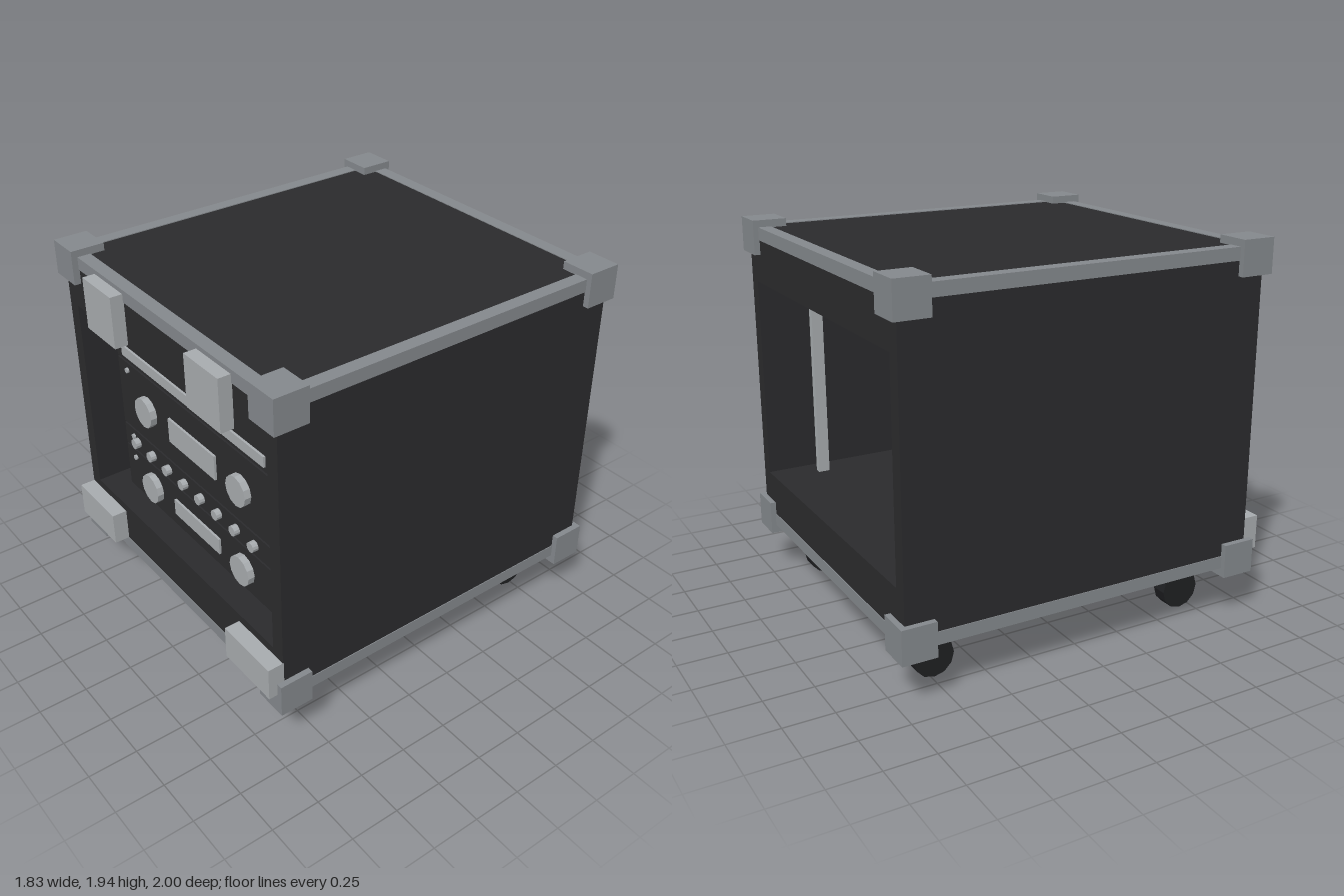
import * as THREE from 'three';

const material = (color) => new THREE.MeshStandardMaterial({ color, flatShading: true });

export function createModel() {
  const model = new THREE.Group();
  const dark = material(0x2b2b2d);
  const rubber = material(0x1f2022);
  const steel = material(0x85898d);
  const light = material(0xa8acaf);

  const add = (parent, name, geometry, mat, x, y, z) => {
    const mesh = new THREE.Mesh(geometry, mat);
    mesh.name = name;
    mesh.position.set(x, y, z);
    parent.add(mesh);
    return mesh;
  };
  // Box given by its limits on each axis
  const box = (parent, name, mat, x0, x1, y0, y1, z0, z1) =>
    add(parent, name, new THREE.BoxGeometry(x1 - x0, y1 - y0, z1 - z0), mat,
      (x0 + x1) / 2, (y0 + y1) / 2, (z0 + z1) / 2);
  const group = (name) => {
    const g = new THREE.Group();
    g.name = name;
    model.add(g);
    return g;
  };

  const W = 0.885, BOTTOM = 0.28, TOP = 1.905, FRONT = 0.92, BACK = -0.97;
  const OPEN_W = 0.81, OPEN_LOW = 0.563, OPEN_HIGH = 1.617;

  // Case shell: one tunnel open at the front and the back
  const rect = (target, w, y0, y1) =>
    target.moveTo(-w, y0).lineTo(w, y0).lineTo(w, y1).lineTo(-w, y1).closePath();
  const outline = rect(new THREE.Shape(), W, BOTTOM + 0.004, TOP - 0.004);
  outline.holes.push(rect(new THREE.Path(), OPEN_W, OPEN_LOW, OPEN_HIGH));
  const shell = new THREE.ExtrudeGeometry(outline, { depth: FRONT - BACK, bevelEnabled: false });
  add(model, 'caseShell', shell, dark, 0, 0, BACK);

  // Metal edging round the top and the bottom, a hair proud of the shell
  const edging = group('edging');
  const T = 0.065, P = 0.004;
  for (const [y0, y1] of [[BOTTOM, BOTTOM + T], [TOP - T, TOP]]) {
    box(edging, 'frontEdge', steel, -W, W, y0, y1, FRONT - T, FRONT + P);
    box(edging, 'backEdge', steel, -W, W, y0, y1, BACK - P, BACK + T);
    box(edging, 'leftEdge', steel, W - T, W + P, y0, y1, BACK, FRONT);
    box(edging, 'rightEdge', steel, -W - P, -W + T, y0, y1, BACK, FRONT);
  }

  // Corner protectors
  const corners = group('cornerProtectors');
  for (const x of [-0.828, 0.828])
    for (const y of [0.323, 1.853])
      for (const z of [-0.912, 0.867])
        add(corners, 'corner', new THREE.BoxGeometry(0.175, 0.175, 0.175), steel, x, y, z);

  // Latch plates on the front
  const latches = group('latchPlates');
  for (const s of [-1, 1]) {
    add(latches, 'upperLatch', new THREE.BoxGeometry(0.262, 0.265, 0.07), light, s * 0.444, 1.75, 0.953);
    add(latches, 'lowerLatch', new THREE.BoxGeometry(0.352, 0.175, 0.085), light, s * 0.709, 0.432, 0.9575);
  }

  // Casters
  const casters = group('casters');
  const wheel = new THREE.CylinderGeometry(0.104, 0.104, 0.08, 12).rotateZ(Math.PI / 2);
  for (const x of [-0.65, 0.65])
    for (const z of [-0.735, 0.685]) {
      add(casters, 'casterMount', new THREE.BoxGeometry(0.207, 0.085, 0.207), rubber, x, 0.2425, z);
      add(casters, 'wheel', wheel, rubber, x, 0.104, z);
    }

  // Upright mounting rails
  const rails = group('rackRails');
  for (const s of [-1, 1])
    for (const z of [-0.705, 0.66])
      add(rails, 'rail', new THREE.BoxGeometry(0.036, OPEN_HIGH - OPEN_LOW, 0.06), light,
        s * 0.697, (OPEN_LOW + OPEN_HIGH) / 2, z);

  // Rack units, stacked from the bottom, each a whole number of slots high
  const SLOT = (OPEN_HIGH - OPEN_LOW) / 8, FACE = 0.795;
  const knob = (unit, name, x, y, r, depth) =>
    add(unit, name, new THREE.CylinderGeometry(r, r, depth, 12).rotateX(Math.PI / 2), light,
      x, y, FACE + depth / 2);
  const panel = (unit, name, x0, x1, y0, y1) =>
    box(unit, name, light, x0, x1, y0, y1, FACE - 0.005, FACE + 0.012);

  const dials = (unit, y, halfHeight) => {
    for (const s of [-1, 1]) knob(unit, 'dial', s * 0.41, y, 0.08, 0.035);
    panel(unit, 'display', -0.204, 0.204, y - halfHeight, y + halfHeight);
  };
  const units = [
    { name: 'lowerAmplifier', slots: 2, fit: (u) => dials(u, 0.694, 0.045) },
    { name: 'mixerUnit', slots: 1, fit: (u) => {
      for (let i = 0; i < 8; i++) knob(u, 'knob', -0.552 + i * 0.151, 0.893, 0.027, 0.03);
    } },
    { name: 'mainAmplifier', slots: 3, fit: (u) => dials(u, 1.157, 0.067) },
    { name: 'patchUnit', slots: 1, fit: (u) => panel(u, 'patchStrip', -0.617, 0.613, 1.39, 1.446) },
    { name: 'playerUnit', slots: 1, fit: (u) => {
      panel(u, 'discSlot', -0.507, 0.065, 1.546, 1.578);
      for (let i = 0; i < 4; i++) knob(u, 'knob', 0.216 + i * 0.101, 1.53, 0.03, 0.03);
    } },
  ];
  let y = OPEN_LOW;
  for (const { name, slots, fit } of units) {
    const unit = group(name);
    const top = y + slots * SLOT;
    box(unit, 'facePlate', dark, -0.685, 0.685, y + 0.006, top - 0.006, 0.69, FACE);
    knob(unit, 'indicatorLight', -0.592, top - 0.046, 0.014, 0.012);
    fit(unit);
    y = top;
  }

  return model;
}
